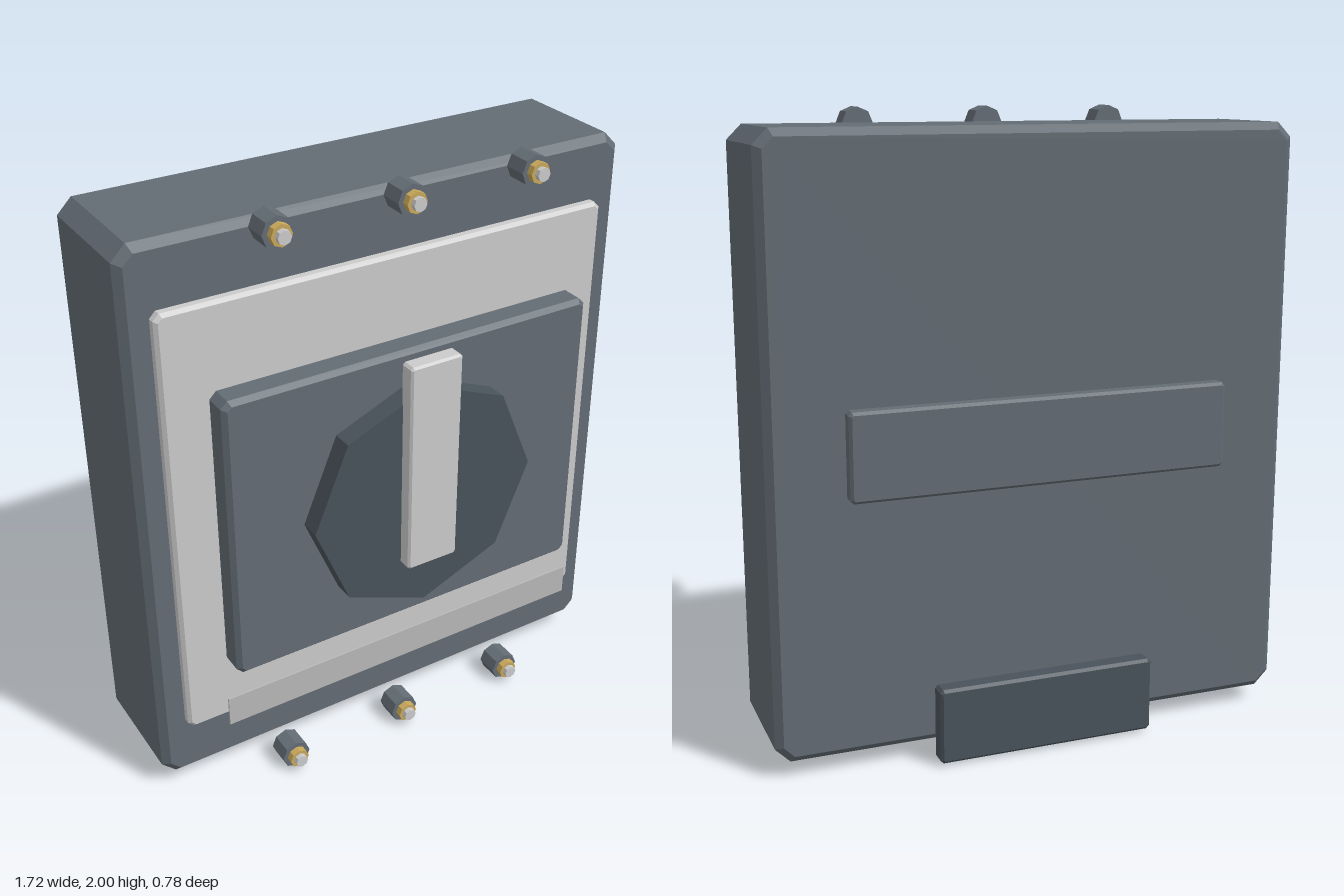
import * as THREE from 'three';

const paint = (color) => new THREE.MeshStandardMaterial({ color, flatShading: true });
const slate = paint(0x636c74);
const dark = paint(0x49535b);
const light = paint(0xcccccc);
const label = paint(0xb8b8b8);
const brass = paint(0xc8a85a);

// Plate with cut corners and a chamfer on its front and back rims
function plate(name, x, y0, y1, z0, z1, cut, bevel, material) {
  const w = x - bevel;
  const h = (y1 - y0) / 2 - bevel;
  const c = Math.max(cut - 0.586 * bevel, 0.002);
  const outline = [
    [w, -h + c], [w, h - c], [w - c, h], [-w + c, h],
    [-w, h - c], [-w, -h + c], [-w + c, -h], [w - c, -h],
  ].map(([px, py]) => new THREE.Vector2(px, py));
  const geometry = new THREE.ExtrudeGeometry(new THREE.Shape(outline), {
    depth: z1 - z0 - 2 * bevel,
    bevelEnabled: true,
    bevelSize: bevel,
    bevelThickness: bevel,
    bevelSegments: 1,
  });
  const mesh = new THREE.Mesh(geometry, material);
  mesh.name = name;
  mesh.position.set(0, (y0 + y1) / 2, z0 + bevel);
  return mesh;
}

// Eight-sided disc along z
function disc(name, radius, z0, z1, material) {
  const geometry = new THREE.CylinderGeometry(radius, radius, z1 - z0, 8);
  geometry.rotateX(Math.PI / 2);
  const mesh = new THREE.Mesh(geometry, material);
  mesh.name = name;
  mesh.position.z = (z0 + z1) / 2;
  return mesh;
}

// Terminal: dark post, brass collar, light screw tip
function terminal(x, y) {
  const group = new THREE.Group();
  group.name = 'terminal';
  group.add(
    disc('terminalPost', 0.05, 0.165, 0.242, slate),
    disc('terminalCollar', 0.034, 0.235, 0.265, brass),
    disc('terminalScrew', 0.022, 0.26, 0.282, light),
  );
  group.position.set(x, y, 0);
  return group;
}

export function createModel() {
  const model = new THREE.Group();
  model.name = 'circuitBreaker';

  // Housing and front
  model.add(
    plate('housing', 0.858, 0.053, 1.953, -0.307, 0.12, 0.047, 0.024, slate),
    plate('facePlate', 0.772, 0.258, 1.75, 0.108, 0.153, 0.02, 0.011, light),
    plate('switchPanel', 0.642, 0.512, 1.495, 0.177, 0.275, 0.022, 0.015, slate),
  );

  // Rotary switch
  const dial = disc('dial', 0.395, 0.265, 0.343, dark);
  dial.position.y = 1.003;
  model.add(dial);
  model.add(plate('handle', 0.09, 0.783, 1.503, 0.332, 0.389, 0.008, 0.007, light));

  // Blank label strip
  const strip = new THREE.Mesh(new THREE.BoxGeometry(1.34, 0.105, 0.006), label);
  strip.name = 'labelStrip';
  strip.position.set(0, 0.358, 0.245);
  model.add(strip);

  // Back mounting bar and rail clip
  model.add(
    plate('mountingBar', 0.618, 0.866, 1.143, -0.353, -0.298, 0.01, 0.009, slate),
    plate('railClip', 0.36, 0.008, 0.253, -0.387, -0.322, 0.01, 0.009, dark),
  );

  // Terminals along the top and bottom
  for (const y of [0.05, 1.95]) {
    for (const x of [-0.432, 0, 0.432]) model.add(terminal(x, y));
  }
  return model;
}
